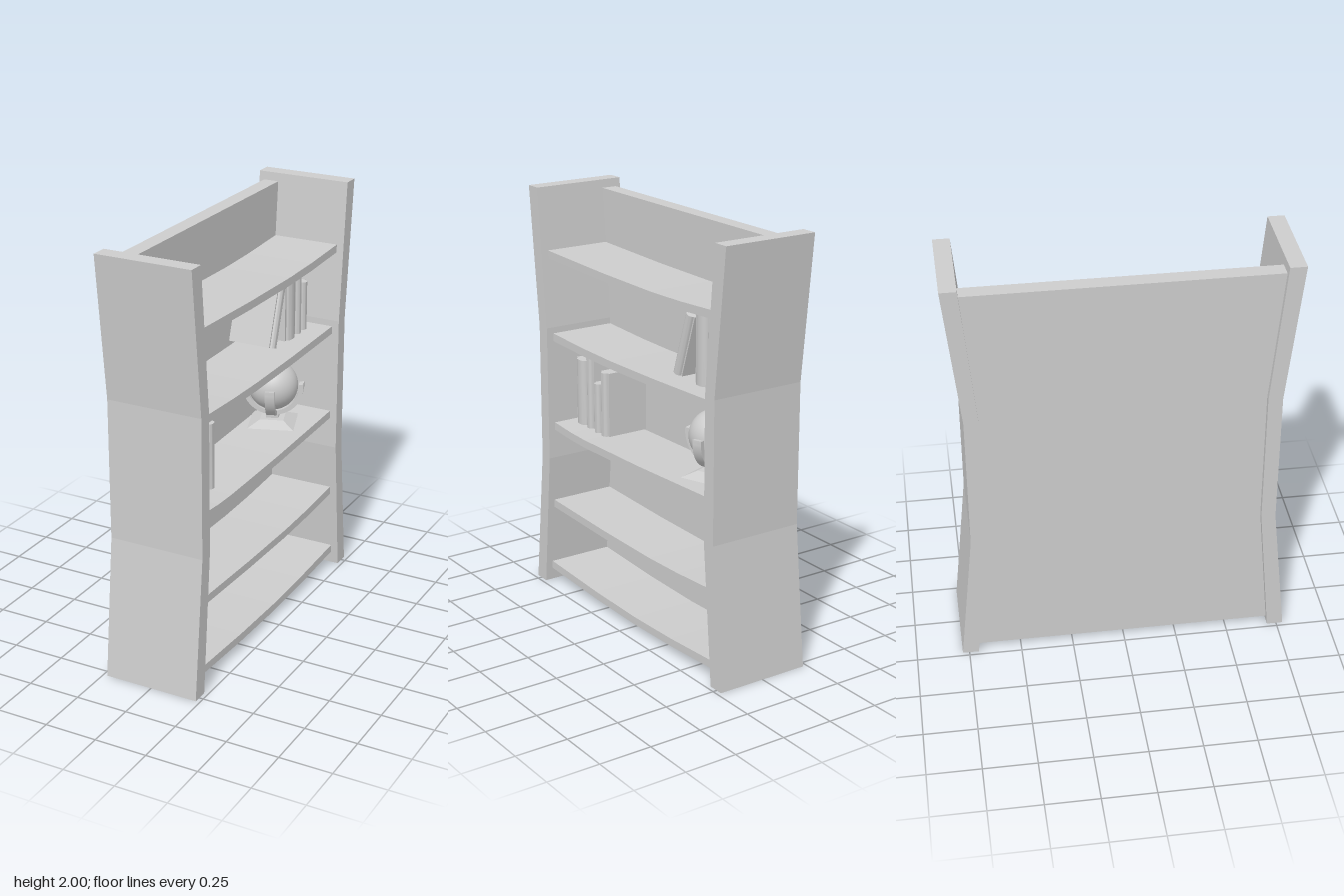
import * as THREE from 'three';
import { toCreasedNormals } from 'three/addons/utils/BufferGeometryUtils.js';

const paint = new THREE.MeshStandardMaterial({ color: 0xcccccc });
paint.name = 'light grey';

const rad = THREE.MathUtils.degToRad;

function addMesh(parent, name, geometry) {
  const mesh = new THREE.Mesh(geometry, paint);
  mesh.name = name;
  parent.add(mesh);
  return mesh;
}

// Extrudes a [z, y] outline across x from x0 to x1
function slab(points, x0, x1) {
  const shape = new THREE.Shape(points.map(([z, y]) => new THREE.Vector2(z, y)));
  const geo = new THREE.ExtrudeGeometry(shape, { depth: x1 - x0, bevelEnabled: false });
  return geo.rotateY(-Math.PI / 2).translate(x1, 0, 0);
}

// Half width between the side panels at a given height (waisted in the middle)
function innerZ(y) {
  if (y < 0.67) return THREE.MathUtils.lerp(0.705, 0.645, y / 0.67);
  if (y > 1.33) return THREE.MathUtils.lerp(0.645, 0.705, (y - 1.33) / 0.67);
  return 0.645;
}

// Upright book with a rounded spine facing +x; base centred on z = 0
function bookGeometry(thickness, height) {
  const h = thickness / 2, lip = thickness * 0.13;
  const shape = new THREE.Shape();
  shape.moveTo(-0.13, -h);
  shape.lineTo(0.08, -h);
  shape.lineTo(0.08, -h + lip);
  shape.bezierCurveTo(0.105, -h + lip, 0.105, h - lip, 0.08, h - lip);
  shape.lineTo(0.08, h);
  shape.lineTo(-0.13, h);
  const geo = new THREE.ExtrudeGeometry(shape, { depth: height, bevelEnabled: false, curveSegments: 10 });
  return toCreasedNormals(geo.rotateX(-Math.PI / 2), rad(40));
}

function createGlobe() {
  const globe = new THREE.Group();
  globe.name = 'globe';
  const turn = rad(20), cy = 0.19;

  addMesh(globe, 'globeBall', new THREE.SphereGeometry(0.12, 32, 24)).position.y = cy;

  // Square tapered foot and neck
  const foot = new THREE.CylinderGeometry(0.08, 0.157, 0.028, 4, 1).toNonIndexed();
  foot.computeVertexNormals();
  foot.rotateY(Math.PI / 4 + turn).translate(0, 0.014, 0);
  addMesh(globe, 'globeFoot', foot);
  const neck = new THREE.BoxGeometry(0.06, 0.045, 0.06).rotateY(turn).translate(0, 0.045, 0);
  addMesh(globe, 'globeNeck', neck);

  // Four curved prongs cradling the ball
  const arc = new THREE.Shape();
  arc.absarc(0, 0, 0.148, rad(-90), rad(6), false);
  arc.absarc(0, 0, 0.126, rad(6), rad(-90), true);
  const prong = toCreasedNormals(new THREE.ExtrudeGeometry(arc,
    { depth: 0.046, bevelEnabled: false, curveSegments: 12 }).translate(0, 0, -0.023), rad(30));
  for (let i = 0; i < 4; i++) {
    const mesh = addMesh(globe, 'globeProng', prong);
    mesh.position.y = cy;
    mesh.rotation.y = turn + i * Math.PI / 2;
  }
  return globe;
}

export function createModel() {
  const model = new THREE.Group();
  model.name = 'bookcase';

  // Bent side panels
  for (const s of [1, -1]) {
    const outline = [
      [0.705, 0], [0.782, 0], [0.712, 0.67], [0.712, 1.33], [0.782, 2],
      [0.705, 2], [0.645, 1.33], [0.645, 0.67],
    ].map(([z, y]) => [z * s, y]);
    addMesh(model, 'sidePanel', slab(outline, -0.23, 0.23));
  }

  // Back panel, following the inside of the sides
  const levels = [0.03, 0.67, 1.33, 1.96];
  const back = [
    ...levels.map((y) => [innerZ(y) + 0.003, y]),
    ...levels.slice().reverse().map((y) => [-innerZ(y) - 0.003, y]),
  ];
  addMesh(model, 'backPanel', slab(back, -0.205, -0.13));

  // Sagging shelves: [top at +z end, top at -z end, lowest z, lowest top]
  const shelves = [
    [0.1, 0.1, -0.05, 0.075],
    [0.44, 0.44, -0.17, 0.42],
    [0.85, 0.86, 0.38, 0.835],
    [1.3, 1.3, 0.14, 1.285],
    [1.7, 1.7, -0.18, 1.682],
  ];
  const thick = 0.038;
  for (const [left, right, lowZ, lowY] of shelves) {
    const zl = innerZ(left), zr = -innerZ(right);
    const soft = (end, z) => [lowZ + (z - lowZ) * 0.45, lowY + (end - lowY) * 0.25];
    const top = [[zl, left], soft(left, zl), [lowZ, lowY], soft(right, zr), [zr, right]];
    const bottom = top.map(([z, y]) => [z, y - thick]).reverse();
    for (const p of [bottom[0], bottom[4]]) p[0] = Math.sign(p[0]) * innerZ(p[1]);
    addMesh(model, 'shelf', slab([...top, ...bottom], -0.13, 0.195));
  }

  // Upright books: [z centre, thickness, base y, top y]
  const books = [
    [0.57, 0.1, 0.845, 1.17], [0.493, 0.054, 0.845, 1.22],
    [0.428, 0.056, 0.84, 1.085], [0.367, 0.064, 0.84, 1.155],
    [-0.418, 0.1, 1.293, 1.62], [-0.495, 0.054, 1.295, 1.655],
    [-0.557, 0.056, 1.296, 1.535],
  ];
  for (const [z, t, y0, y1] of books) {
    addMesh(model, 'book', bookGeometry(t, y1 - y0)).position.set(0, y0, z);
  }

  // Leaning book, pivoting on its lower -z corner
  const leaning = addMesh(model, 'leaningBook', bookGeometry(0.063, 0.305).translate(0, 0, 0.0315));
  leaning.position.set(0, 1.295, -0.264);
  leaning.rotation.x = -0.317;

  const globe = createGlobe();
  globe.position.set(0, 0.856, -0.41);
  model.add(globe);

  return model;
}
